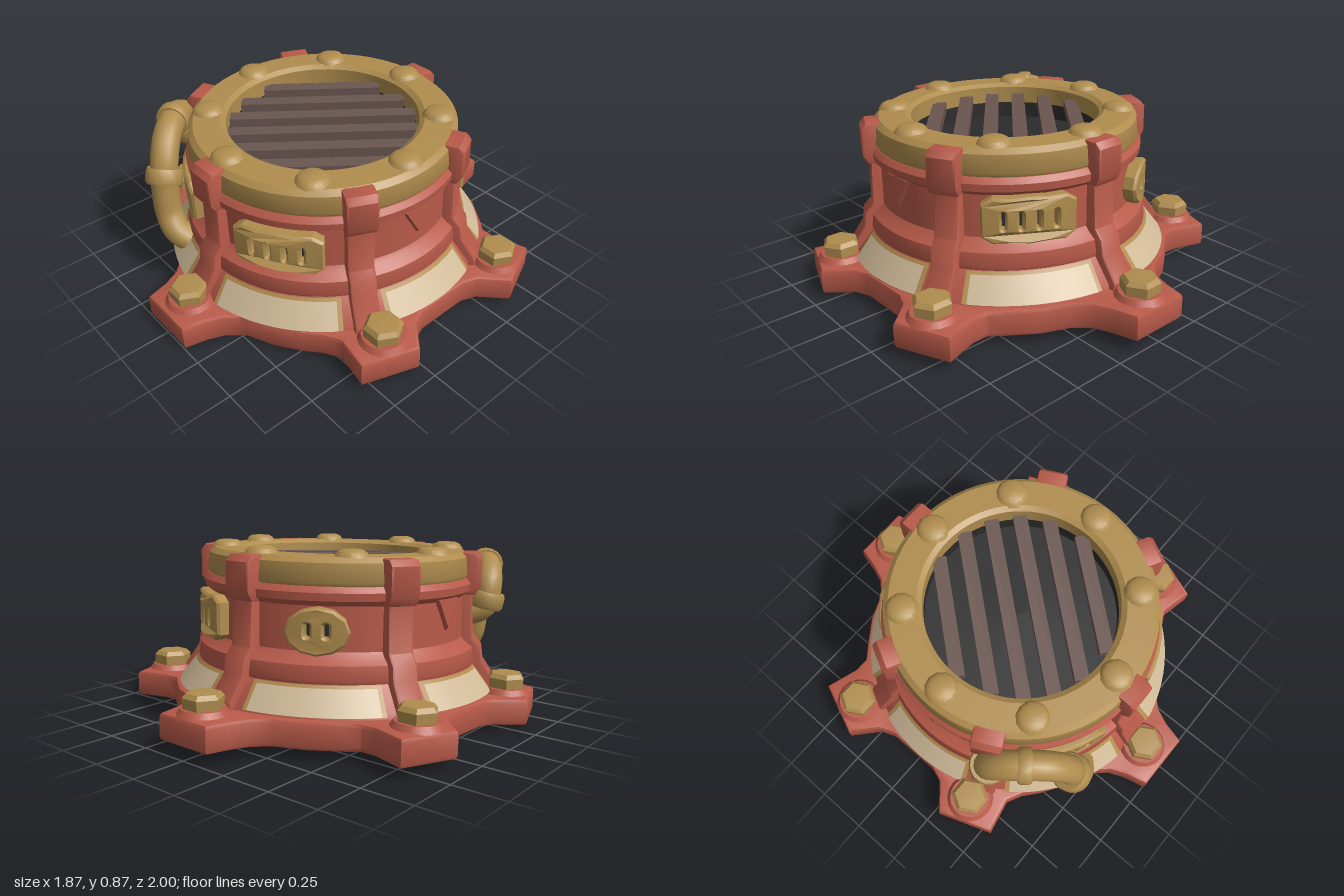
import * as THREE from 'three';
import { toCreasedNormals } from 'three/addons/utils/BufferGeometryUtils.js';

const paint = (name, color, side = THREE.FrontSide) => {
  const m = new THREE.MeshStandardMaterial({ color, side });
  m.name = name;
  return m;
};
const rad = THREE.MathUtils.degToRad;
const V = (x, y, z) => new THREE.Vector3(x, y, z);

export function createModel() {
  const red = paint('red clay', 0xb85a49);
  const gold = paint('brass', 0xb08d4e);
  const cream = paint('cream stone', 0xcfb998, THREE.DoubleSide);
  const brown = paint('brown iron', 0x6a5650);
  const dark = paint('dark interior', 0x2b2b2c, THREE.DoubleSide);

  const model = new THREE.Group();
  model.name = 'roundVent';
  const body = new THREE.Group();
  body.name = 'body';
  body.position.z = 0.02;
  model.add(body);

  const add = (parent, name, geometry, material, x = 0, y = 0, z = 0) => {
    const mesh = new THREE.Mesh(geometry, material);
    mesh.name = name;
    mesh.position.set(x, y, z);
    parent.add(mesh);
    return mesh;
  };
  // Profile of [radius, height] turned round y, optionally only part of the way
  const turned = (points, segments = 72, start = 0, length = Math.PI * 2) =>
    toCreasedNormals(new THREE.LatheGeometry(points.map(p => new THREE.Vector2(...p)), segments, start, length), 0.6);
  // Wraps a flat plate round the wall
  const wrap = (geometry, radius) => {
    const p = geometry.attributes.position;
    for (let i = 0; i < p.count; i++) {
      const a = p.getX(i) / radius, r = radius + p.getZ(i);
      p.setXYZ(i, r * Math.sin(a), p.getY(i), r * Math.cos(a));
    }
    geometry.computeVertexNormals();
    return geometry;
  };
  const roundedRect = (S, cx, cy, w, h, r) => {
    const s = new S();
    const c = [[1, -1, -90], [1, 1, 0], [-1, 1, 90], [-1, -1, 180]];
    for (const [sx, sy, a] of c) {
      s.absarc(cx + sx * (w / 2 - r), cy + sy * (h / 2 - r), r, rad(a), rad(a + 90), false);
    }
    s.closePath();
    return s;
  };

  // Six-lobed base plate, mirrored from its right half
  const half = [[0.14, -0.99], [0.165, -0.89], [0.2, -0.8], [0.27, -0.73], [0.4, -0.675], [0.52, -0.59],
    [0.59, -0.535], [0.67, -0.535], [0.825, -0.585], [0.925, -0.345], [0.81, -0.24], [0.78, -0.16], [0.78, 0.11],
    [0.81, 0.19], [0.925, 0.29], [0.835, 0.535], [0.67, 0.5], [0.59, 0.54], [0.52, 0.6], [0.4, 0.68],
    [0.27, 0.735], [0.2, 0.81], [0.165, 0.89], [0.14, 0.99]];
  const outline = [...half, ...half.map(([x, z]) => [-x, z]).reverse()];
  const plate = new THREE.ExtrudeGeometry(
    new THREE.Shape(outline.map(([x, z]) => new THREE.Vector2(x, -z))),
    { depth: 0.09, bevelSize: 0.02, bevelThickness: 0.02, bevelOffset: -0.01, bevelSegments: 2 });
  plate.rotateX(-Math.PI / 2);
  add(model, 'basePlate', toCreasedNormals(plate, 0.7), red, 0, 0.02, 0);

  // Hex bolts on the lobes
  const boltHead = new THREE.LatheGeometry(
    [[0.09, 0], [0.093, 0.06], [0.075, 0.08], [0, 0.085]].map(p => new THREE.Vector2(...p)), 6);
  const hexBolt = toCreasedNormals(boltHead, 0.3);
  for (const [x, z] of [[0, 0.86], [0, -0.88], [0.78, 0.36], [-0.78, 0.36], [0.78, -0.41], [-0.78, -0.41]]) {
    add(model, 'boltSeat', new THREE.CylinderGeometry(0.1, 0.12, 0.03, 18), red, x, 0.14, z);
    add(model, 'baseBolt', hexBolt, gold, x, 0.142, z).rotation.y = Math.PI / 6;
  }

  // Drum with sloping skirt, lower band and upper flange
  add(body, 'drum', turned([[0.785, 0.1], [0.775, 0.15], [0.69, 0.26], [0.695, 0.275], [0.685, 0.34], [0.645, 0.37],
    [0.63, 0.39], [0.63, 0.59], [0.662, 0.615], [0.665, 0.65], [0.645, 0.675], [0.61, 0.68]]), red);

  // Brass top ring with round studs
  add(body, 'topRing', turned([[0.6, 0.67], [0.64, 0.675], [0.648, 0.69], [0.64, 0.775], [0.615, 0.798],
    [0.485, 0.802], [0.46, 0.785], [0.46, 0.7]]), gold);
  const stud = turned([[0.08, 0], [0.065, 0.022], [0.045, 0.032], [0, 0.034]], 12);
  for (let i = 0; i < 8; i++) {
    const a = i * Math.PI / 4;
    add(body, 'ringStud', stud, gold, 0.55 * Math.sin(a), 0.796, 0.55 * Math.cos(a));
  }

  // Dark well and slanted grating
  add(body, 'wellWall', turned([[0.462, 0.77], [0.462, 0.58]]), dark);
  add(body, 'wellFloor', new THREE.CircleGeometry(0.465, 48).rotateX(-Math.PI / 2), dark, 0, 0.62, 0);
  const slant = rad(50);
  for (let i = 0; i < 6; i++) {
    const d = -0.345 + i * 0.138;
    const length = 2 * Math.sqrt(0.455 ** 2 - d * d);
    const bar = add(body, 'gratingBar', new THREE.BoxGeometry(length, 0.05, 0.068), brown,
      d * Math.sin(slant), 0.725, d * Math.cos(slant));
    bar.rotation.y = slant;
  }

  // Upright ribs with clamp heads over the ring
  const ribSide = new THREE.Shape([[0.58, 0.1], [0.8, 0.1], [0.8, 0.16], [0.725, 0.27], [0.715, 0.34], [0.675, 0.385],
    [0.665, 0.63], [0.58, 0.63]].map(p => new THREE.Vector2(...p)));
  const headSide = new THREE.Shape([[0.6, 0.6], [0.68, 0.6], [0.702, 0.635], [0.702, 0.765], [0.68, 0.79],
    [0.6, 0.79]].map(p => new THREE.Vector2(...p)));
  const upright = (shape, width) => {
    const b = 0.012;
    const g = new THREE.ExtrudeGeometry(shape,
      { depth: width - 2 * b, bevelSize: b, bevelThickness: b, bevelOffset: -b / 2, bevelSegments: 2 });
    g.translate(0, 0, b - width / 2);
    return toCreasedNormals(g.rotateY(-Math.PI / 2), 0.7);
  };
  const ribGeometry = upright(ribSide, 0.125), headGeometry = upright(headSide, 0.145);
  for (const angle of [0, 63, 117, 180, 243, 297]) {
    const rib = new THREE.Group();
    rib.name = 'rib';
    rib.rotation.y = rad(angle);
    add(rib, 'ribPost', ribGeometry, red);
    add(rib, 'ribHead', headGeometry, red);
    body.add(rib);
  }

  // Cream skirt panels with brass edging
  const skirtPanel = (name, material, angle, spread, y0, y1, lift) => {
    const r = y => 0.775 - (y - 0.15) * 0.085 / 0.11 + lift;
    add(body, name, turned([[r(y0), y0], [r(y1), y1]], 12, rad(angle - spread), rad(2 * spread)), material);
  };
  const panels = [[31.5, 23.5], [90, 20], [148.5, 23.5], [211.5, 23.5], [270, 20], [328.5, 23.5]];
  for (const [angle, spread] of panels) {
    skirtPanel('panelEdging', gold, angle, spread, 0.14, 0.258, 0.004);
    skirtPanel('skirtPanel', cream, angle, spread - 1.7, 0.142, 0.247, 0.009);
  }

  // Wall fittings: slotted grilles, an oval vent and wedge-shaped bosses
  const fitting = (name, shape, depth, material, angle) => {
    const g = new THREE.ExtrudeGeometry(shape,
      { depth, bevelSize: 0.01, bevelThickness: 0.012, bevelSegments: 1, curveSegments: 6 });
    add(body, name, toCreasedNormals(wrap(g, 0.632), 0.5), material).rotation.y = rad(angle);
  };
  const backing = (angle, spread, y0, y1) =>
    add(body, 'ventShadow', turned([[0.641, y0], [0.641, y1]], 8, rad(angle - spread), rad(2 * spread)), dark);
  for (const angle of [31.5, 148.5, 328.5]) {
    // Notched frame made of several short sides so that it follows the wall
    const frame = new THREE.Shape();
    const top = [0.19, 0.15, 0.08, 0, -0.08, -0.15, -0.19];
    const tall = [0.07, 0.095, 0.092, 0.098, 0.092, 0.095, 0.07];
    frame.setFromPoints([
      ...top.map((x, i) => new THREE.Vector2(x, 0.488 + tall[i])),
      ...top.map((x, i) => new THREE.Vector2(-x, 0.488 - tall[i]))]);
    for (let i = 0; i < 4; i++) {
      frame.holes.push(roundedRect(THREE.Path, -0.108 + i * 0.072, 0.49, 0.034, 0.1, 0.016));
    }
    fitting('slottedGrille', frame, 0.045, gold, angle);
    backing(angle, 14, 0.42, 0.56);
  }
  const oval = new THREE.Shape();
  oval.absellipse(0, 0.485, 0.125, 0.095, 0, Math.PI * 2, false);
  for (const s of [-1, 1]) oval.holes.push(roundedRect(THREE.Path, s * 0.038, 0.49, 0.042, 0.08, 0.018));
  fitting('ovalVent', oval, 0.05, gold, 211.5);
  backing(211.5, 8, 0.43, 0.55);
  for (const angle of [90, 270]) {
    const wedge = new THREE.Shape([[-0.075, 0.6], [0, 0.47], [0.075, 0.6]].map(p => new THREE.Vector2(...p)));
    fitting('wedgeBoss', wedge, 0.006, red, angle);
  }

  // Bent pipe with collars
  const path = new THREE.CatmullRomCurve3([V(-0.52, 0.49, 0.29), V(-0.63, 0.53, 0.36), V(-0.645, 0.64, 0.385),
    V(-0.59, 0.715, 0.47), V(-0.49, 0.7, 0.59), V(-0.425, 0.6, 0.665), V(-0.41, 0.46, 0.69),
    V(-0.39, 0.33, 0.7), V(-0.335, 0.25, 0.7), V(-0.28, 0.2, 0.66)]);
  add(model, 'pipe', new THREE.TubeGeometry(path, 48, 0.068, 14), gold);
  const collar = turned([[0.06, -0.04], [0.085, -0.04], [0.092, -0.025], [0.092, 0.025], [0.085, 0.04], [0.06, 0.04]], 18);
  for (const [x, y, z, t] of [[-0.64, 0.565, 0.37, 0.16], [-0.56, 0.72, 0.51, 0.38], [-0.417, 0.53, 0.68, 0.6]]) {
    const ring = add(model, 'pipeCollar', collar, gold, x, y, z);
    ring.quaternion.setFromUnitVectors(V(0, 1, 0), path.getTangentAt(t));
    if (t === 0.38) ring.scale.set(0.9, 0.8, 0.9);
  }

  // Whole model leans slightly forward
  model.rotation.x = 0.028;
  model.position.y = 0.028;
  const root = new THREE.Group();
  root.name = 'model';
  root.add(model);
  return root;
}
